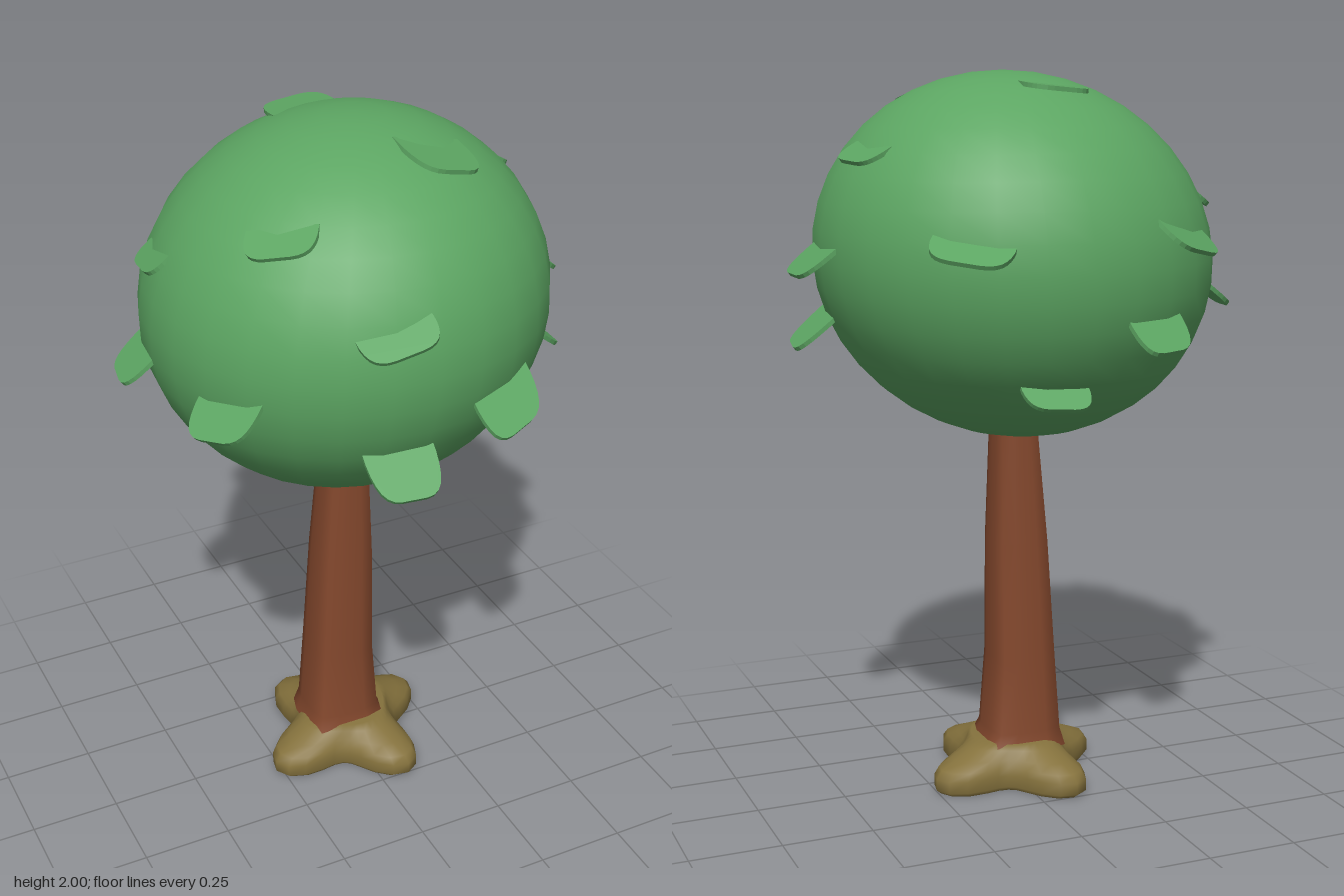
import * as THREE from 'three';

const green = new THREE.MeshStandardMaterial({ color: 0x5ca562 });
green.name = 'leafGreen';
const brown = new THREE.MeshStandardMaterial({ color: 0x84482d });
brown.name = 'barkBrown';
const olive = new THREE.MeshStandardMaterial({ color: 0x85723d });
olive.name = 'rootOlive';

const CENTRE = new THREE.Vector3(-0.008, 1.5, 0);
const RADII = new THREE.Vector3(0.548, 0.5, 0.548);
const SHEAR = 0.06; // the crown leans slightly towards +x at the top

// Skin closed cross-sections; at(ring, angle) gives [x, y, z].
function loft(rings, segments, at) {
  const pos = [], idx = [];
  rings.forEach((ring, i) => {
    for (let j = 0; j < segments; j++) {
      pos.push(...at(ring, (j / segments) * Math.PI * 2));
      if (i === rings.length - 1) continue;
      const a = i * segments + j, b = i * segments + (j + 1) % segments;
      idx.push(a, a + segments, b, b, a + segments, b + segments);
    }
  });
  const g = new THREE.BufferGeometry();
  g.setAttribute('position', new THREE.Float32BufferAttribute(pos, 3));
  g.setIndex(idx);
  g.computeVertexNormals();
  return g;
}

// Four-armed root foot: rings are [y, tip radius, valley radius]
function rootGeometry() {
  const rings = [
    [0, 0, 0], [0, 0.265, 0.145], [0, 0.265, 0.145], [0.012, 0.28, 0.155], [0.045, 0.28, 0.155],
    [0.066, 0.262, 0.15], [0.085, 0.215, 0.14], [0.11, 0.155, 0.13], [0.125, 0.125, 0.12], [0.125, 0, 0],
  ];
  return loft(rings, 40, ([y, tip, valley], t) => {
    const k = Math.pow(0.5 + 0.5 * Math.cos(4 * (t + 0.35)), 1.2);
    const r = valley + (tip - valley) * k;
    return [Math.cos(t) * r - 0.008 * (r > 0), y, Math.sin(t) * r];
  });
}

// Squarish trunk: rings are [y, centre x, centre z, half width, half depth]
function trunkGeometry() {
  const rings = [
    [0.1, -0.022, -0.004, 0.122, 0.115], [0.15, -0.026, -0.006, 0.103, 0.099], [0.36, -0.027, -0.005, 0.088, 0.09],
    [0.7, -0.018, -0.002, 0.078, 0.077], [1.06, -0.009, 0, 0.058, 0.057],
  ];
  const n = 5;
  return loft(rings, 16, ([y, cx, cz, hx, hz], t) => {
    const c = Math.cos(t), s = Math.sin(t);
    const r = Math.pow(Math.abs(c) ** n + Math.abs(s) ** n, -1 / n);
    return [cx + c * r * hx, y, cz + s * r * hz];
  });
}

function crownGeometry() {
  const g = new THREE.SphereGeometry(1, 28, 20);
  const lean = new THREE.Matrix4().set(
    RADII.x, SHEAR * RADII.y, 0, CENTRE.x,
    0, RADII.y, 0, CENTRE.y,
    0, 0, RADII.z, CENTRE.z,
    0, 0, 0, 1);
  return g.applyMatrix4(lean);
}

// Move a point radially onto the crown surface
function snap([x, y, z]) {
  const p = new THREE.Vector3(x - SHEAR * (y - CENTRE.y), y, z).sub(CENTRE).divide(RADII).normalize();
  p.multiply(RADII).add(CENTRE);
  p.x += SHEAR * (p.y - CENTRE.y);
  return p;
}

// Unit leaf: root edge across x, tip at y = 1, with a buried tail
function leafUnit() {
  const s = new THREE.Shape();
  s.moveTo(-0.5, -0.3);
  s.lineTo(0.5, -0.3);
  s.lineTo(0.5, 0.15);
  s.bezierCurveTo(0.48, 0.7, 0.4, 0.98, 0.18, 1);
  s.lineTo(-0.18, 1);
  s.bezierCurveTo(-0.4, 0.98, -0.48, 0.7, -0.5, 0.15);
  const g = new THREE.ExtrudeGeometry(s, { depth: 1, bevelEnabled: false, curveSegments: 6 });
  return g.translate(0, 0, -0.5);
}

// Leaves: two root corners on the crown and the tip
const LEAVES = [
  [[-0.185, 1.28, 0.47], [0, 1.29, 0.495], [-0.1, 1.205, 0.59]],
  [[0.1, 1.39, 0.52], [0.29, 1.425, 0.45], [0.2, 1.335, 0.59]],
  [[-0.5, 1.4, 0.2], [-0.4, 1.43, 0.36], [-0.53, 1.345, 0.33]],
  [[-0.54, 1.41, -0.19], [-0.55, 1.41, -0.01], [-0.62, 1.35, -0.09]],
  [[-0.21, 1.61, 0.49], [-0.02, 1.66, 0.52], [-0.11, 1.6, 0.57]],
  [[-0.365, 1.8, 0.2], [-0.23, 1.845, 0.32], [-0.335, 1.79, 0.31]],
  [[0.05, 1.965, 0.19], [0.24, 1.925, 0.18], [0.15, 1.925, 0.31]],
  [[0.53, 1.535, 0.1], [0.53, 1.535, -0.1], [0.615, 1.47, 0]],
  [[0.5, 1.355, 0.19], [0.5, 1.345, 0.01], [0.595, 1.27, 0.09]],
  [[0.43, 1.79, 0], [0.41, 1.79, -0.18], [0.485, 1.765, -0.09]],
  [[-0.48, 1.66, -0.18], [-0.48, 1.68, 0], [-0.54, 1.64, -0.09]],
  [[0.05, 1.96, -0.2], [-0.13, 1.96, -0.2], [-0.04, 1.95, -0.28]],
  [[-0.2, 1.61, -0.47], [-0.39, 1.57, -0.36], [-0.33, 1.54, -0.5]],
  [[0.37, 1.59, -0.39], [0.19, 1.56, -0.5], [0.33, 1.535, -0.51]],
  [[-0.11, 1.37, -0.5], [-0.29, 1.37, -0.45], [-0.2, 1.3, -0.59]],
  [[0.14, 1.2, -0.41], [-0.04, 1.2, -0.42], [0.05, 1.15, -0.475]],
];

function leafGeometry(unit, [a, b, tip]) {
  const A = snap(a), B = snap(b);
  const mid = A.clone().add(B).multiplyScalar(0.5);
  const u = B.clone().sub(A);
  const v = new THREE.Vector3(...tip).sub(mid);
  const n = u.clone().cross(v).normalize().multiplyScalar(0.012);
  return unit.clone().applyMatrix4(new THREE.Matrix4().makeBasis(u, v, n).setPosition(mid));
}

export function createModel() {
  const tree = new THREE.Group();
  tree.name = 'tree';
  const add = (name, geometry, material, parent = tree) => {
    const m = new THREE.Mesh(geometry, material);
    m.name = name;
    parent.add(m);
  };

  add('rootFoot', rootGeometry(), olive);
  add('trunk', trunkGeometry(), brown);
  add('crown', crownGeometry(), green);

  const leaves = new THREE.Group();
  leaves.name = 'leaves';
  tree.add(leaves);
  const unit = leafUnit();
  LEAVES.forEach((leaf, i) => add('leaf' + (i + 1), leafGeometry(unit, leaf), green, leaves));
  return tree;
}
